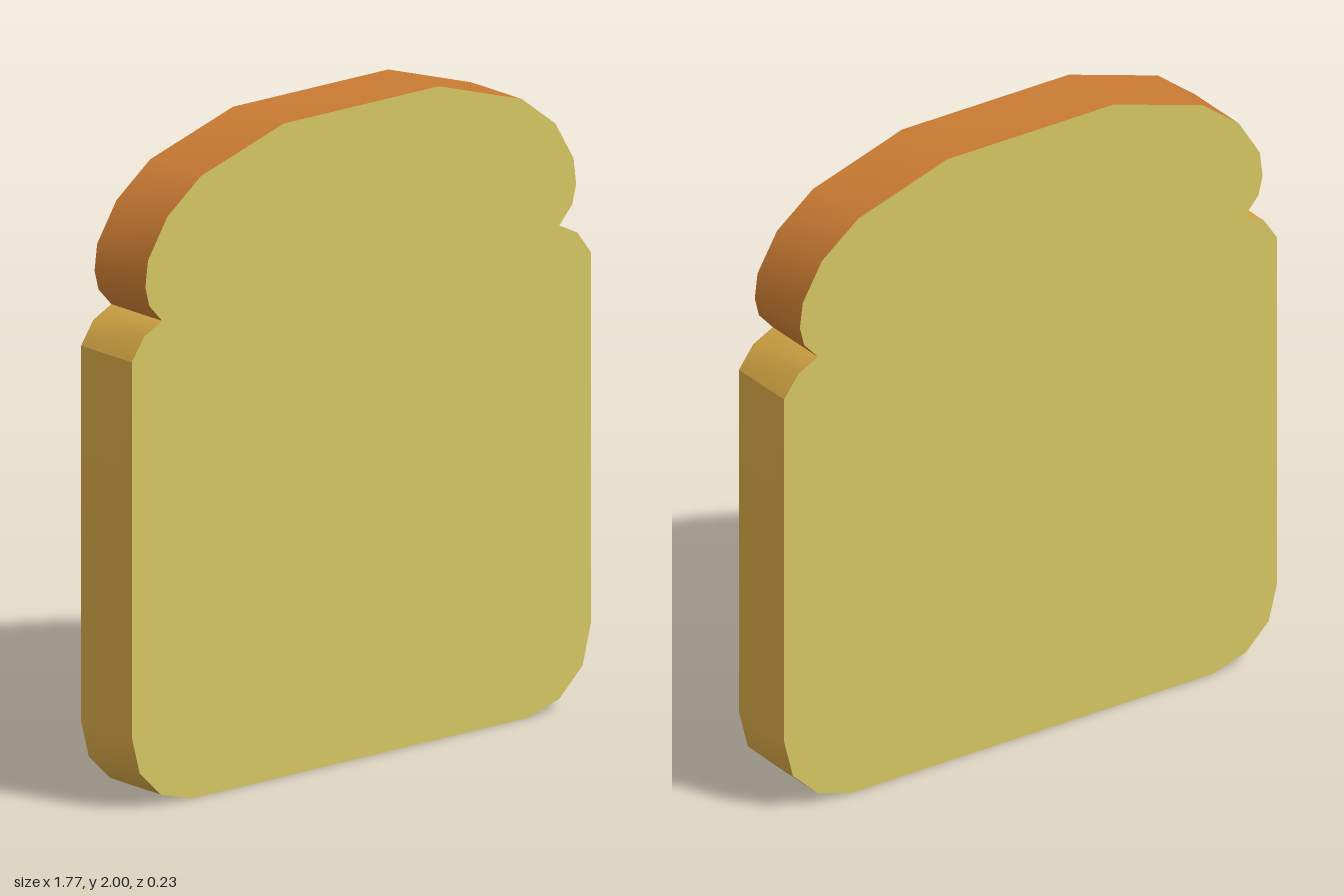
import * as THREE from 'three';

const HALF = 0.115; // half the slice thickness

// Outline runs anticlockwise from the right notch, in smooth crust sections
const topCrust = [
  [0.765, 1.485], [0.815, 1.54], [0.83, 1.6], [0.82, 1.68], [0.75, 1.8], [0.62, 1.9], [0.3, 2],
  [-0.3, 2], [-0.62, 1.9], [-0.75, 1.8], [-0.825, 1.68], [-0.835, 1.6], [-0.82, 1.54], [-0.77, 1.485],
];
const leftShoulder = [[-0.77, 1.485], [-0.84, 1.45], [-0.887, 1.38]];
const lowerCrust = [
  [-0.887, 1.38], [-0.887, 0.23], [-0.857, 0.115], [-0.775, 0.035], [-0.655, 0],
  [0.645, 0], [0.765, 0.035], [0.855, 0.12], [0.887, 0.245], [0.887, 1.38],
];
const rightShoulder = [[0.887, 1.38], [0.835, 1.45], [0.765, 1.485]];

// Band of crust across the thickness, following one section of the outline
function crustBand(points) {
  const positions = [], index = [];
  points.forEach(([x, y], i) => {
    positions.push(x, y, HALF, x, y, -HALF);
    if (i < points.length - 1) {
      const a = i * 2;
      index.push(a, a + 1, a + 3, a, a + 3, a + 2);
    }
  });
  const geometry = new THREE.BufferGeometry();
  geometry.setAttribute('position', new THREE.Float32BufferAttribute(positions, 3));
  geometry.setIndex(index);
  geometry.computeVertexNormals();
  return geometry;
}

export function createModel() {
  const crumb = new THREE.MeshStandardMaterial({ name: 'crumb', color: 0xd4c663 });
  const darkCrust = new THREE.MeshStandardMaterial({ name: 'darkCrust', color: 0xc87a32 });
  const goldenCrust = new THREE.MeshStandardMaterial({ name: 'goldenCrust', color: 0xd2a444 });

  const model = new THREE.Group();
  model.name = 'breadSlice';
  const add = (name, geometry, material) => {
    const mesh = new THREE.Mesh(geometry, material);
    mesh.name = name;
    model.add(mesh);
    return mesh;
  };

  // Flat crumb faces
  const outline = [topCrust, leftShoulder, lowerCrust, rightShoulder]
    .flatMap((section) => section.slice(0, -1))
    .map(([x, y]) => new THREE.Vector2(x, y));
  const face = new THREE.ShapeGeometry(new THREE.Shape(outline));
  add('frontCrumb', face, crumb).position.z = HALF;

  // Back face: same outline with the triangles reversed
  const back = face.clone();
  back.setIndex([...face.index.array].reverse());
  back.computeVertexNormals();
  add('backCrumb', back, crumb).position.z = -HALF;

  // Crust around the edge
  add('topCrust', crustBand(topCrust), darkCrust);
  add('leftShoulderCrust', crustBand(leftShoulder), goldenCrust);
  add('lowerCrust', crustBand(lowerCrust), goldenCrust);
  add('rightShoulderCrust', crustBand(rightShoulder), goldenCrust);

  return model;
}
